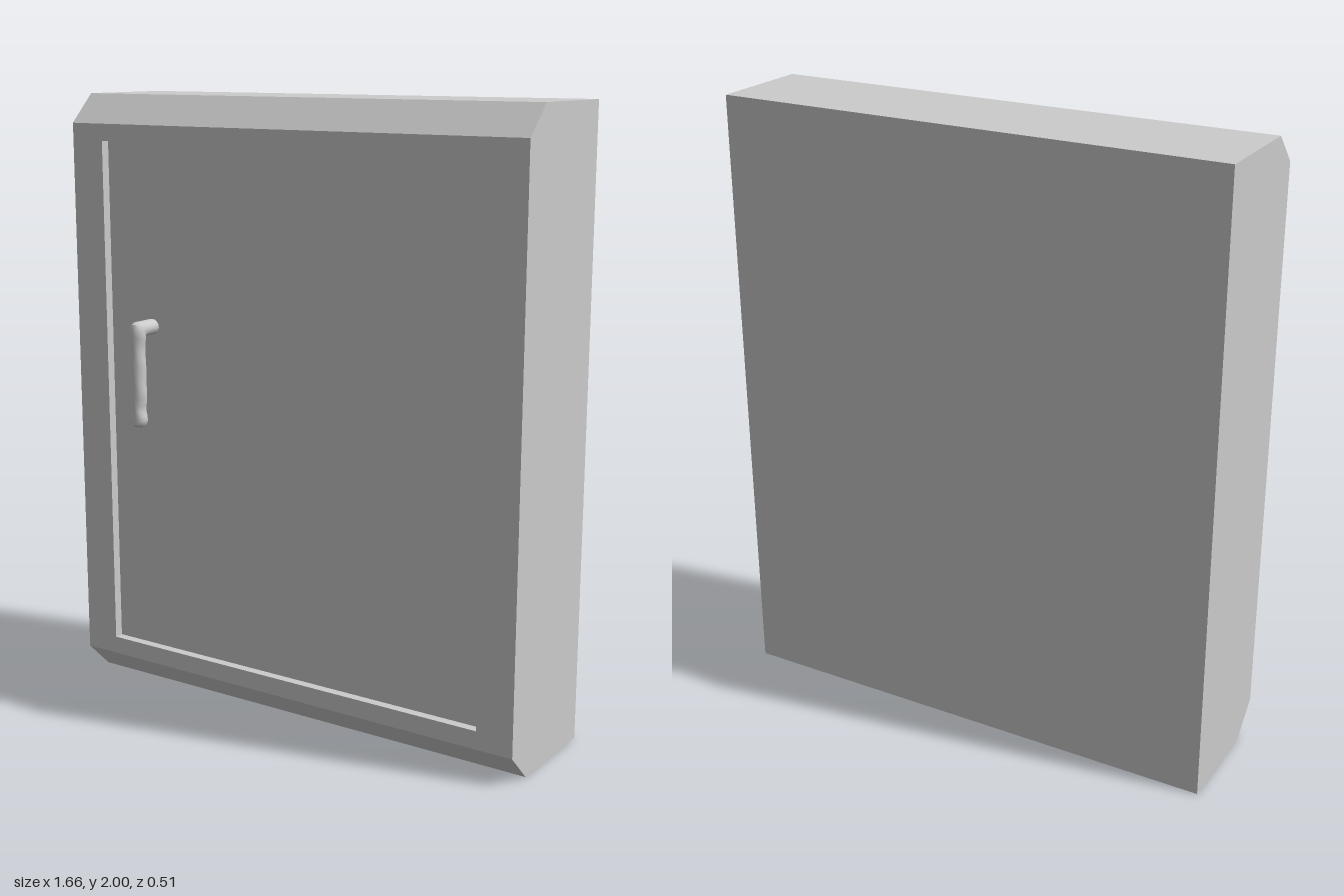
import * as THREE from 'three';
import { toCreasedNormals } from 'three/addons/utils/BufferGeometryUtils.js';

const W = 0.83, H = 2, BACK = -0.253, FRONT = 0.183, BEVEL = 0.093, RECESS = 0.03;
const DOOR = FRONT - RECESS; // plane of the sunken door

function rectPath(path, x, y0, y1) {
  path.moveTo(-x, y0);
  path.lineTo(x, y0);
  path.lineTo(x, y1);
  path.lineTo(-x, y1);
  path.closePath();
  return path;
}

// Lofts a tube through sections: [innerY, innerZ, outerY, outerZ, xLeft, xRight]
function loft(sections, sides) {
  const pos = [], index = [];
  sections.forEach(([yi, zi, yo, zo, x0, x1], i) => {
    for (let j = 0; j < sides; j++) {
      const a = (j / sides) * Math.PI * 2;
      const t = (1 + Math.sin(a)) / 2;
      pos.push((x0 + x1) / 2 + ((x1 - x0) / 2) * Math.cos(a), yi + (yo - yi) * t, zi + (zo - zi) * t);
      if (i === sections.length - 1) continue;
      const p = i * sides + j, q = i * sides + ((j + 1) % sides);
      index.push(p, q, p + sides, q, q + sides, p + sides);
    }
  });
  const geo = new THREE.BufferGeometry();
  geo.setAttribute('position', new THREE.Float32BufferAttribute(pos, 3));
  geo.setIndex(index);
  return toCreasedNormals(geo, 0.7);
}

export function createModel() {
  const group = new THREE.Group();
  const material = new THREE.MeshStandardMaterial({ color: 0xcccccc });
  const add = (name, geo) => {
    const mesh = new THREE.Mesh(geo, material);
    mesh.name = name;
    group.add(mesh);
  };

  // Casing: side profile swept across the width, up to the door plane
  const cut = BEVEL - RECESS; // height lost to the chamfer at the door plane
  const profile = new THREE.Shape([
    [-BACK, 0], [-BACK, H], [BEVEL - FRONT, H], [-DOOR, H - cut], [-DOOR, cut], [BEVEL - FRONT, 0],
  ].map(([x, y]) => new THREE.Vector2(x, y)));
  const casing = new THREE.ExtrudeGeometry(profile, { depth: 2 * W, bevelEnabled: false });
  casing.rotateY(Math.PI / 2).translate(-W, 0, 0);
  add('casing', casing);

  // Front frame around the sunken door; its outer back edge follows the chamfer
  const shape = rectPath(new THREE.Shape(), W, BEVEL, H - BEVEL);
  shape.holes.push(rectPath(new THREE.Path(), 0.707, 0.152, 1.852));
  const frame = new THREE.ExtrudeGeometry(shape, { depth: RECESS, bevelEnabled: false });
  const p = frame.attributes.position;
  for (let i = 0; i < p.count; i++) {
    if (p.getZ(i) > RECESS / 2) continue;
    if (p.getY(i) < BEVEL + 0.01) p.setY(i, cut);
    if (p.getY(i) > H - BEVEL - 0.01) p.setY(i, H - cut);
  }
  frame.translate(0, 0, DOOR);
  frame.computeVertexNormals();
  add('frontFrame', frame);

  // Handle: arm out of the door, tight elbow, then a grip with finger grooves
  const L = -0.566, R = -0.51, zi = 0.202, zo = 0.254;
  const sections = [
    [1.23, DOOR - 0.01, 1.281, DOOR - 0.01, L, R],
    [1.23, zi, 1.281, zi, L, R],
    [1.23, zi, 1.281, 0.232, L, R],
    [1.23, zi, 1.274, 0.247, L, R],
    [1.23, zi, 1.258, zo, L, R],
  ];
  const grip = [
    [1.23, -0.566, -0.51], [1.21, -0.559, -0.514], [1.185, -0.555, -0.516],
    [1.16, -0.563, -0.514], [1.135, -0.566, -0.512], [1.11, -0.56, -0.513],
    [1.08, -0.556, -0.514], [1.055, -0.563, -0.512], [1.03, -0.566, -0.511],
    [1.005, -0.557, -0.516], [0.985, -0.554, -0.518], [0.97, -0.562, -0.512],
    [0.955, -0.566, -0.51], [0.943, -0.563, -0.513],
  ];
  for (const [y, x0, x1] of grip) sections.push([y, zi, y, zo, x0, x1]);
  // Rounded lower tip
  sections.push([0.934, 0.21, 0.934, 0.246, -0.555, -0.521]);
  sections.push([0.931, 0.2279, 0.931, 0.2281, -0.5381, -0.5379]);
  add('handle', loft(sections, 16));

  return group;
}
